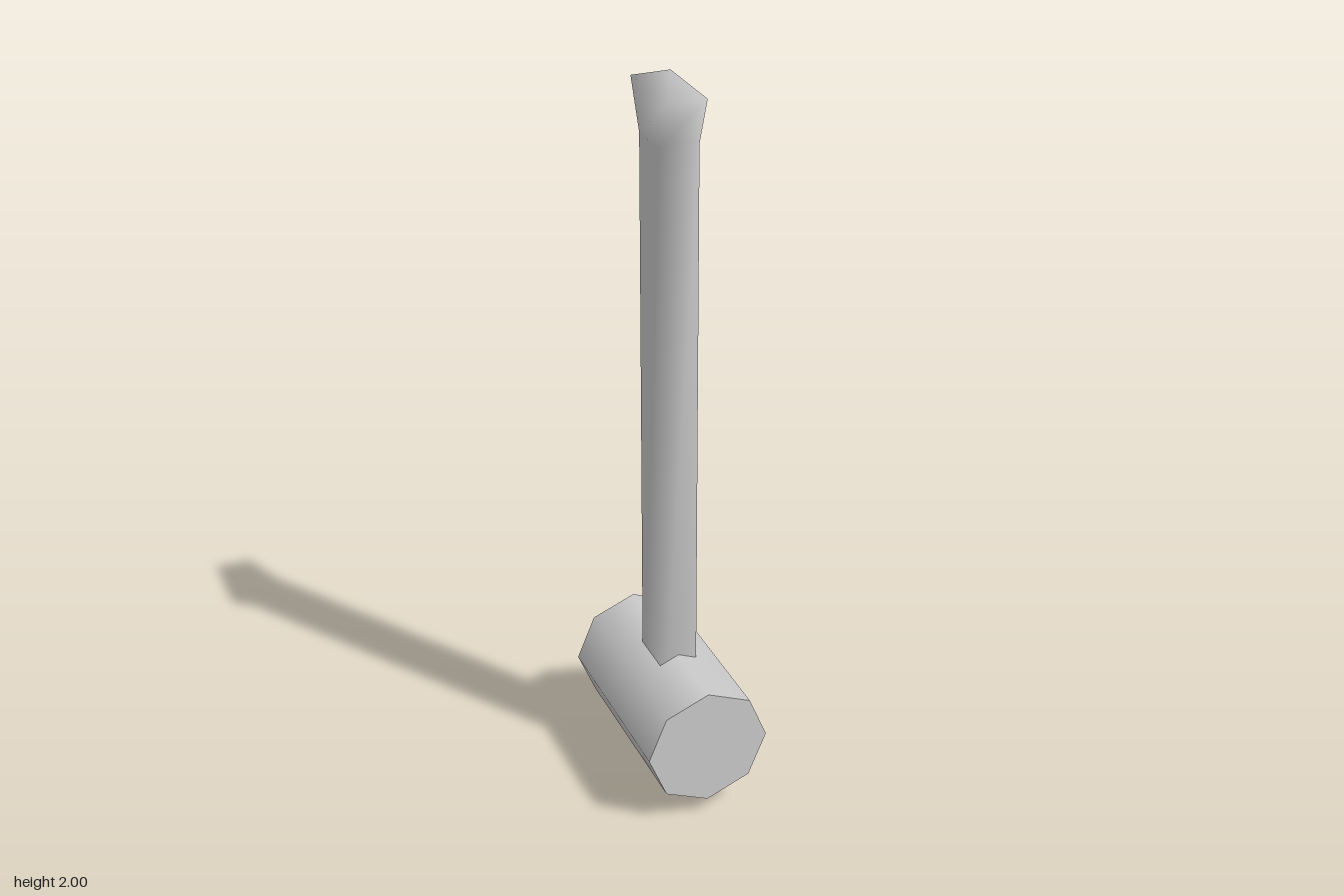
import * as THREE from 'three';
import { mergeVertices } from 'three/addons/utils/BufferGeometryUtils.js';

// Square-section handle with a flared butt, smoothly shaded over its corners
function handleGeometry() {
  const box = new THREE.BoxGeometry(0.107, 2, 0.13, 1, 2, 1);
  box.deleteAttribute('normal');
  box.deleteAttribute('uv');
  const geo = mergeVertices(box);
  const p = geo.attributes.position;
  for (let i = 0; i < p.count; i++) {
    const y = p.getY(i);
    if (y > 0.5) p.setZ(i, Math.sign(p.getZ(i)) * 0.117 - 0.004); // flared end
    else if (y > -0.5) p.setY(i, 0.87); // start of the flare
  }
  geo.translate(-0.001, 1, 0);
  geo.computeVertexNormals();
  return geo;
}

export function createModel() {
  const group = new THREE.Group();
  const material = new THREE.MeshStandardMaterial({ color: 0xcccccc });

  const handle = new THREE.Mesh(handleGeometry(), material);
  handle.name = 'handle';
  group.add(handle);

  // Eight-sided head lying along z, with the handle passing through it
  const head = new THREE.Mesh(
    new THREE.CylinderGeometry(0.172, 0.172, 0.548, 8).rotateX(Math.PI / 2), material);
  head.name = 'hammerHead';
  head.position.y = 0.218;
  group.add(head);

  return group;
}
